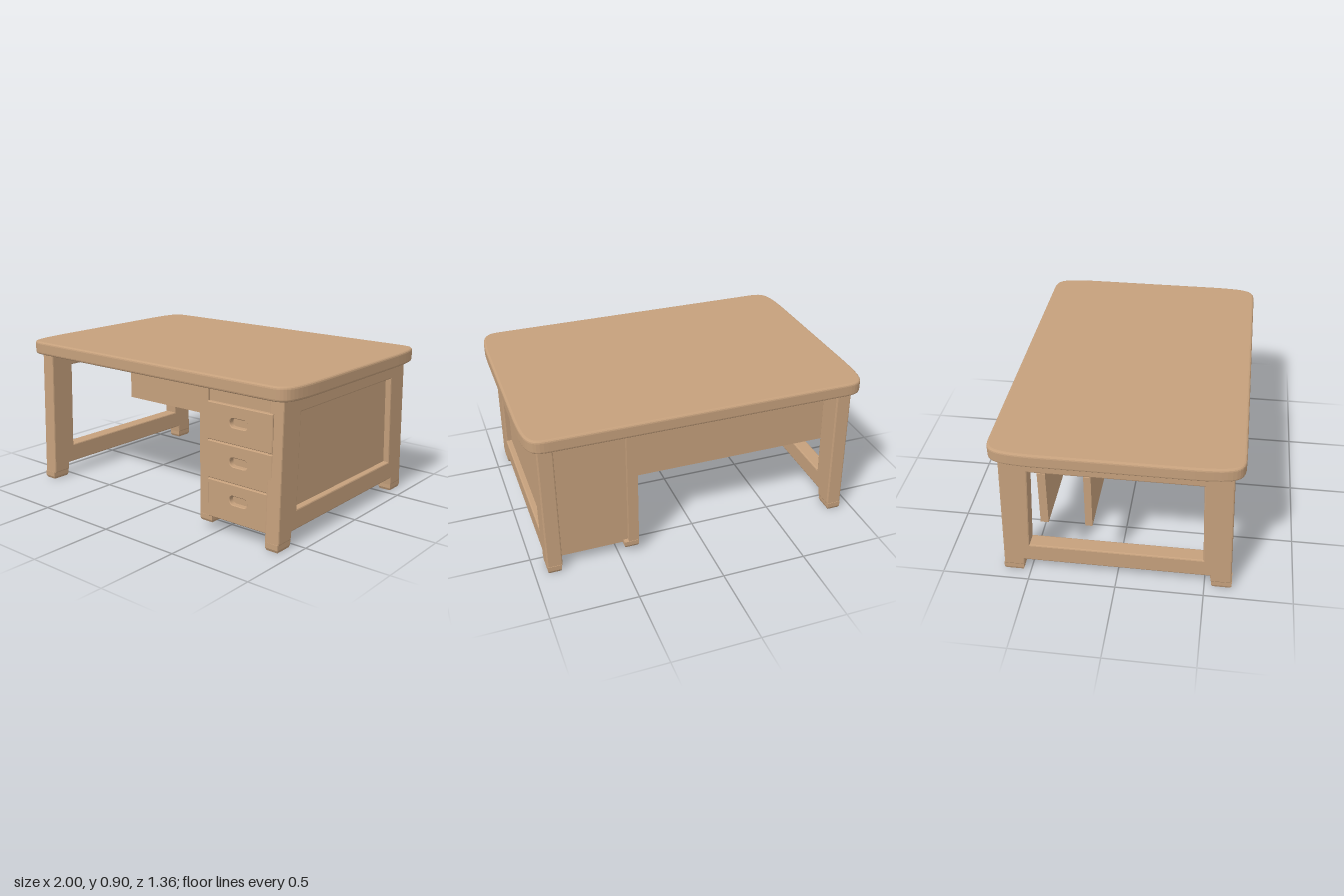
import * as THREE from 'three';

const wood = new THREE.MeshStandardMaterial({ color: 0xc5a07c });
wood.name = 'wood';

export function createModel() {
  const desk = new THREE.Group();
  desk.name = 'desk';

  const add = (name, geometry, parent = desk) => {
    const mesh = new THREE.Mesh(geometry, wood);
    mesh.name = name;
    parent.add(mesh);
    return mesh;
  };

  // Box given by its lower and upper limits on each axis
  const block = (name, [x0, x1], [y0, y1], [z0, z1], parent) => {
    const mesh = add(name, new THREE.BoxGeometry(x1 - x0, y1 - y0, z1 - z0), parent);
    mesh.position.set((x0 + x1) / 2, (y0 + y1) / 2, (z0 + z1) / 2);
    return mesh;
  };

  // Plate with bevelled edges whose outline and depth stay exact, centred in depth
  const plate = (shape, depth, bevel, segments = 2) => {
    const g = new THREE.ExtrudeGeometry(shape, {
      depth: depth - 2 * bevel, bevelEnabled: true, bevelSize: bevel, bevelThickness: bevel,
      bevelOffset: -bevel, bevelSegments: segments, curveSegments: 12,
    });
    return g.translate(0, 0, bevel - depth / 2);
  };

  // Block foot narrowing towards the floor
  const foot = (name, x, y, z, w, h, d) => {
    const g = new THREE.BoxGeometry(w, h, d, 1, 3, 1);
    const p = g.attributes.position;
    for (let i = 0; i < p.count; i++) {
      const k = p.getY(i) < -h * 0.4 ? 0.88 : 1;
      p.setXYZ(i, p.getX(i) * k, p.getY(i), p.getZ(i) * k);
    }
    g.computeVertexNormals();
    add(name, g.toNonIndexed()).position.set(x, y + h / 2, z);
    desk.children.at(-1).geometry.computeVertexNormals();
  };

  // Table top with long soft corners
  const top = new THREE.Shape();
  top.moveTo(1, -0.42);
  top.lineTo(1, 0.42);
  top.bezierCurveTo(0.995, 0.64, 0.975, 0.68, 0.87, 0.68);
  top.lineTo(-0.87, 0.68);
  top.bezierCurveTo(-0.975, 0.68, -0.995, 0.64, -1, 0.42);
  top.lineTo(-1, -0.42);
  top.bezierCurveTo(-0.995, -0.64, -0.975, -0.68, -0.87, -0.68);
  top.lineTo(0.87, -0.68);
  top.bezierCurveTo(0.975, -0.68, 0.995, -0.64, 1, -0.42);
  const topMesh = add('tableTop', plate(top, 0.08, 0.014, 3).rotateX(-Math.PI / 2));
  topMesh.position.y = 0.86;

  // End frames: splayed legs joined by an upper and a lower rail
  const frame = new THREE.Shape([
    [-0.625, 0.825], [-0.652, 0.04], [-0.535, 0.04], [-0.53, 0.085],
    [0.53, 0.085], [0.535, 0.04], [0.652, 0.04], [0.625, 0.825],
  ].map(([z, y]) => new THREE.Vector2(z, y)));
  frame.holes.push(new THREE.Path([
    [-0.47, 0.73], [0.47, 0.73], [0.488, 0.2], [-0.495, 0.2],
  ].map(([z, y]) => new THREE.Vector2(z, y))));
  const frameGeometry = plate(frame, 0.09, 0.008).rotateY(-Math.PI / 2);
  for (const side of [-1, 1]) {
    add(side > 0 ? 'leftEndFrame' : 'rightEndFrame', frameGeometry).position.x = side * 0.885;
    for (const end of [-1, 1]) foot('legFoot', side * 0.887, 0, end * 0.597, 0.08, 0.045, 0.116);
  }

  // Two hanging panels across the knee space
  block('rearModestyPanel', [-0.92, 0.4], [0.38, 0.72], [-0.42, -0.375]);
  block('innerModestyPanel', [-0.92, 0.4], [0.38, 0.72], [-0.17, -0.13]);

  // Drawer pedestal
  const pedestal = new THREE.Group();
  pedestal.name = 'drawerPedestal';
  desk.add(pedestal);
  block('pedestalBody', [0.39, 0.895], [0.07, 0.825], [-0.605, 0.605], pedestal);
  for (const end of [-1, 1]) {
    const z = [end * 0.56, end * 0.632].sort((a, b) => a - b);
    block('innerPost', [0.38, 0.44], [0.07, 0.825], z, pedestal);
    foot('pedestalFoot', 0.425, 0.045, end * 0.58, 0.085, 0.04, 0.11);
  }
  block('frontTopRail', [0.43, 0.86], [0.74, 0.825], [0.6, 0.618], pedestal);

  // Drawer fronts with oval finger pulls cut into them
  [[0.085, 0.305, 0.215], [0.311, 0.525, 0.432], [0.531, 0.742, 0.65]].forEach(([y0, y1, pullY]) => {
    const front = new THREE.Shape([
      [0.44, y0], [0.872, y0], [0.872, y1], [0.44, y1],
    ].map(([x, y]) => new THREE.Vector2(x, y)));
    const pull = new THREE.Path();
    pull.absarc(0.618, pullY, 0.025, Math.PI / 2, Math.PI * 1.5);
    pull.absarc(0.687, pullY, 0.025, -Math.PI / 2, Math.PI / 2);
    front.holes.push(pull);
    add('drawerFront', plate(front, 0.036, 0.004, 1), pedestal).position.z = 0.622;
  });

  return desk;
}
